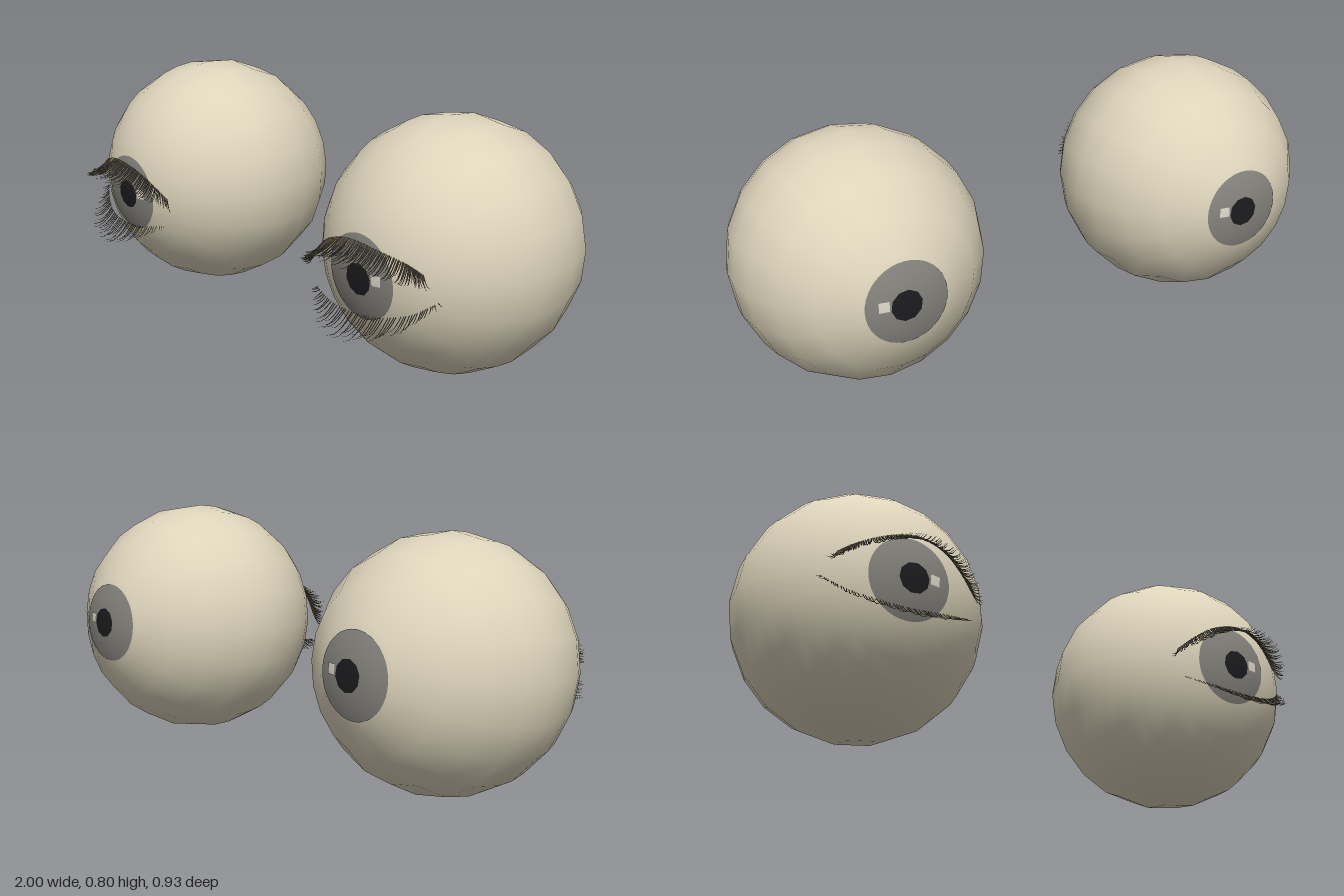
import * as THREE from 'three';

const mat = (name, color, side = THREE.FrontSide) => {
  const m = new THREE.MeshStandardMaterial({ color, side });
  m.name = name;
  return m;
};

const R = 0.4;

// small seeded generator for the irregular hairs
function seeded(seed) {
  return () => {
    seed = (seed * 16807) % 2147483647;
    return seed / 2147483647;
  };
}

// 20-sided ball along z: wide rings behind, finer rings in front
function ballGeometry() {
  const angles = [-90, -79, -68, -50, -32, -14, 0, 9, 18, 27, 36, 45, 54, 63, 72, 81, 90];
  const points = angles.map(a => {
    const t = THREE.MathUtils.degToRad(a);
    return new THREE.Vector2(Math.max(0, R * Math.cos(t)), R * Math.sin(t));
  });
  return new THREE.LatheGeometry(points, 20).rotateX(Math.PI / 2);
}

// thin curved disc lying on the ball, centred on local (x, y), front or back
function spot(name, material, shell, radius, x, y, dir, sides) {
  const geo = new THREE.SphereGeometry(shell, sides, 6, Math.PI / 4, Math.PI * 2, 0, Math.asin(radius / shell));
  geo.rotateX(Math.PI / 2);
  const mesh = new THREE.Mesh(geo, material);
  mesh.name = name;
  mesh.lookAt(x, y, dir * Math.sqrt(R * R - x * x - y * y));
  return mesh;
}

// row of curved, tapering hairs along a lid curve; they reach forward most in the middle
function lashGeometry(side, { roots, count, reach, drop, endDrop, spread, width, seed }) {
  const rnd = seeded(seed);
  const curve = new THREE.CatmullRomCurve3(roots.map(p => new THREE.Vector3(...p)));
  const pos = [], index = [], steps = 4;
  for (let i = 0; i < count; i++) {
    const t = (i + 0.6 * rnd()) / count;
    const root = curve.getPoint(t);
    const middle = Math.sin(Math.PI * t);
    const len = 0.7 + 0.4 * rnd();
    const forward = reach * len * (0.08 + 0.92 * middle);
    const down = drop * len * (endDrop + (1 - endDrop) * middle);
    const lean = (0.5 - t) * spread + (rnd() - 0.5) * 0.015;
    for (let k = 0; k <= steps; k++) {
      const u = k / steps;
      const x = root.x + lean * u;
      const y = root.y - down * Math.sin(u * Math.PI * 0.6);
      const z = root.z + forward * u;
      const w = width * (1 - u) + 0.0003;
      // three-sided cross-section
      for (const [dx, dy] of [[-w, -w * 0.6], [w, -w * 0.6], [0, w]]) {
        pos.push(side * (x + dx), y + dy, z);
      }
      if (k === 0) continue;
      const b = pos.length / 3 - 3, a = b - 3;
      for (let s = 0; s < 3; s++) {
        const n = (s + 1) % 3;
        const quad = [a + s, a + n, b + n, a + s, b + n, b + s];
        index.push(...(side > 0 ? quad : quad.reverse()));
      }
    }
  }
  const geo = new THREE.BufferGeometry();
  geo.setAttribute('position', new THREE.Float32BufferAttribute(pos, 3));
  geo.setIndex(index);
  geo.computeVertexNormals();
  return geo;
}

// lid curves, from outer to inner corner, relative to the eye's centre line
const upper = {
  roots: [[0.215, 0.425, 0.275], [0.17, 0.452, 0.3], [0.09, 0.482, 0.338], [0, 0.497, 0.355],
    [-0.09, 0.477, 0.348], [-0.16, 0.435, 0.328], [-0.215, 0.388, 0.305]],
  count: 110, reach: 0.1, drop: 0.046, endDrop: 0.8, spread: 0.07, width: 0.0024, seed: 71,
};
const lower = {
  roots: [[0.25, 0.345, 0.247], [0.19, 0.305, 0.285], [0.1, 0.277, 0.32], [0, 0.268, 0.335],
    [-0.1, 0.275, 0.335], [-0.2, 0.293, 0.31]],
  count: 50, reach: 0.09, drop: 0.052, endDrop: 0.1, spread: 0.04, width: 0.0016, seed: 137,
};

export function createModel() {
  const model = new THREE.Group();
  model.name = 'eyes';
  const white = mat('eyeWhite', 0xddd4bb);
  const grey = mat('irisGrey', 0x85837d);
  const black = mat('pupilBlack', 0x1c1c1f);
  const shine = mat('highlight', 0xddd8c8);
  const hair = mat('lashBrown', 0x726a56, THREE.DoubleSide);

  for (const side of [1, -1]) {
    const eye = new THREE.Group();
    eye.name = side > 0 ? 'leftEye' : 'rightEye';
    eye.position.x = side * 0.6;

    // eyeball, looking slightly down, painted on front and back
    const ball = new THREE.Group();
    ball.name = 'eyeball';
    ball.position.set(0, 0.4, -0.068);
    ball.rotation.x = 0.06;
    const sphere = new THREE.Mesh(ballGeometry(), white);
    sphere.name = 'eyeWhite';
    ball.add(sphere);
    for (const dir of [1, -1]) {
      const end = dir > 0 ? 'front' : 'back';
      ball.add(
        spot(end + 'Iris', grey, R + 0.001, 0.132, 0, -0.004, dir, 40),
        spot(end + 'Pupil', black, R + 0.0025, 0.05, 0.008, -0.004, dir, 10),
        spot(end + 'Highlight', shine, R + 0.0035, 0.023, 0.077, 0.006, dir, 4)
      );
    }
    eye.add(ball);

    // lashes
    for (const [name, row] of [['upperLashes', upper], ['lowerLashes', lower]]) {
      const lashes = new THREE.Mesh(lashGeometry(side, row), hair);
      lashes.name = name;
      eye.add(lashes);
    }
    model.add(eye);
  }
  return model;
}
